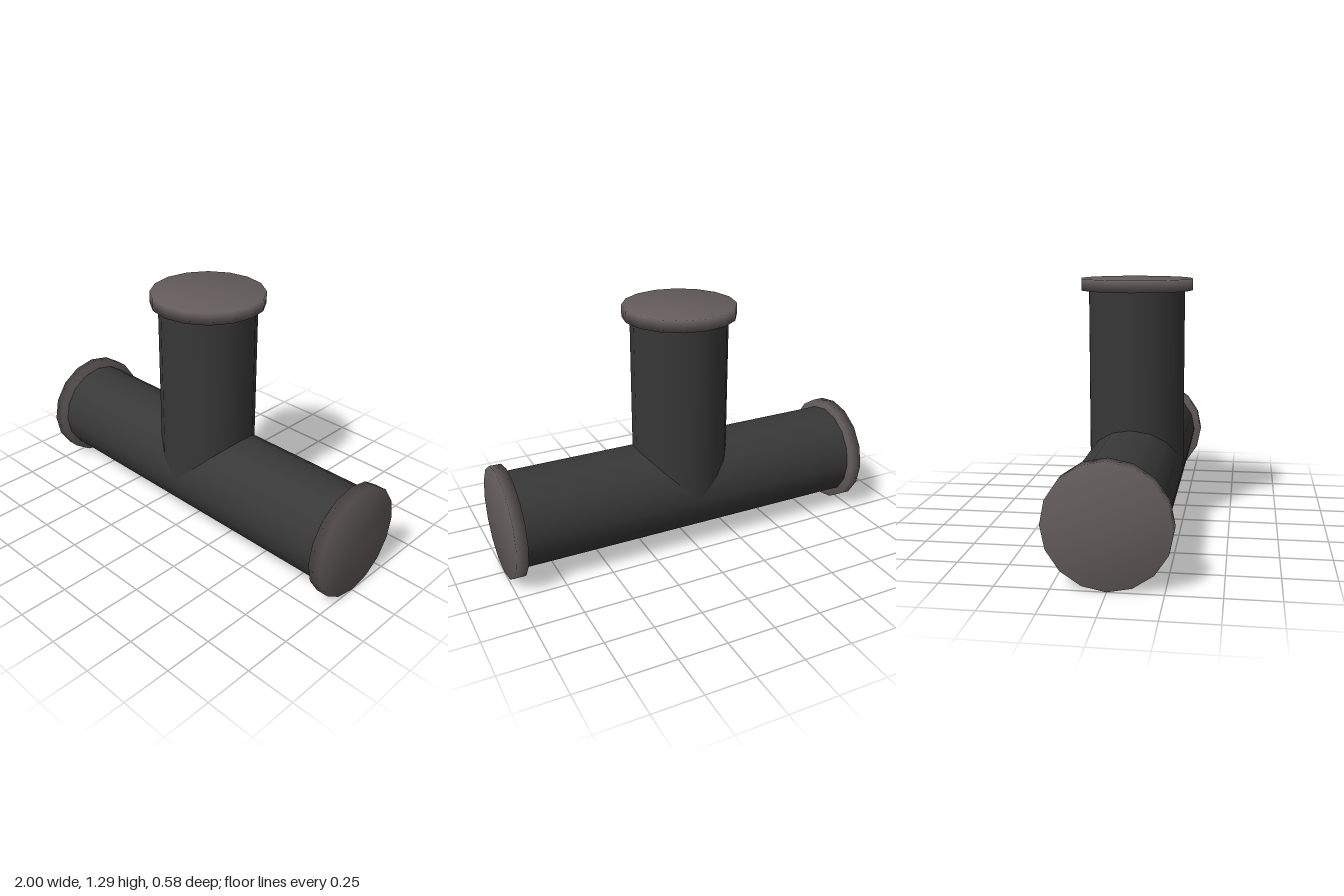
import * as THREE from 'three';
import { mergeVertices } from 'three/addons/utils/BufferGeometryUtils.js';

const SIDES = 16, AXIS_Y = 0.29, PIPE_R = 0.25, FLANGE_R = 0.29, FLANGE_T = 0.06;

// Disc whose shading runs softly over its rim
function softDisc() {
  const g = new THREE.CylinderGeometry(FLANGE_R, FLANGE_R, FLANGE_T, SIDES);
  g.deleteAttribute('normal');
  g.deleteAttribute('uv');
  const merged = mergeVertices(g, 1e-4);
  merged.computeVertexNormals();
  return merged;
}

export function createModel() {
  const model = new THREE.Group();
  model.name = 'pipeTee';
  const pipeMat = new THREE.MeshStandardMaterial({ color: 0x383838 });
  pipeMat.name = 'dark pipe';
  const flangeMat = new THREE.MeshStandardMaterial({ color: 0x645c5c });
  flangeMat.name = 'warm grey flange';

  const add = (name, geometry, material, x, y, turn = 0) => {
    const mesh = new THREE.Mesh(geometry, material);
    mesh.name = name;
    mesh.position.set(x, y, 0);
    mesh.rotation.z = turn;
    model.add(mesh);
  };
  const pipe = (length) => new THREE.CylinderGeometry(PIPE_R, PIPE_R, length, SIDES, 1, true);

  // Main run and the branch rising from its centre line
  add('mainPipe', pipe(1.88), pipeMat, 0, AXIS_Y, Math.PI / 2);
  add('branchPipe', pipe(0.94), pipeMat, 0, AXIS_Y + 0.47);

  // End flanges
  const disc = softDisc();
  add('leftFlange', disc, flangeMat, 0.97, AXIS_Y, -Math.PI / 2);
  add('rightFlange', disc, flangeMat, -0.97, AXIS_Y, Math.PI / 2);
  add('topFlange', disc, flangeMat, 0, 1.26);

  return model;
}
